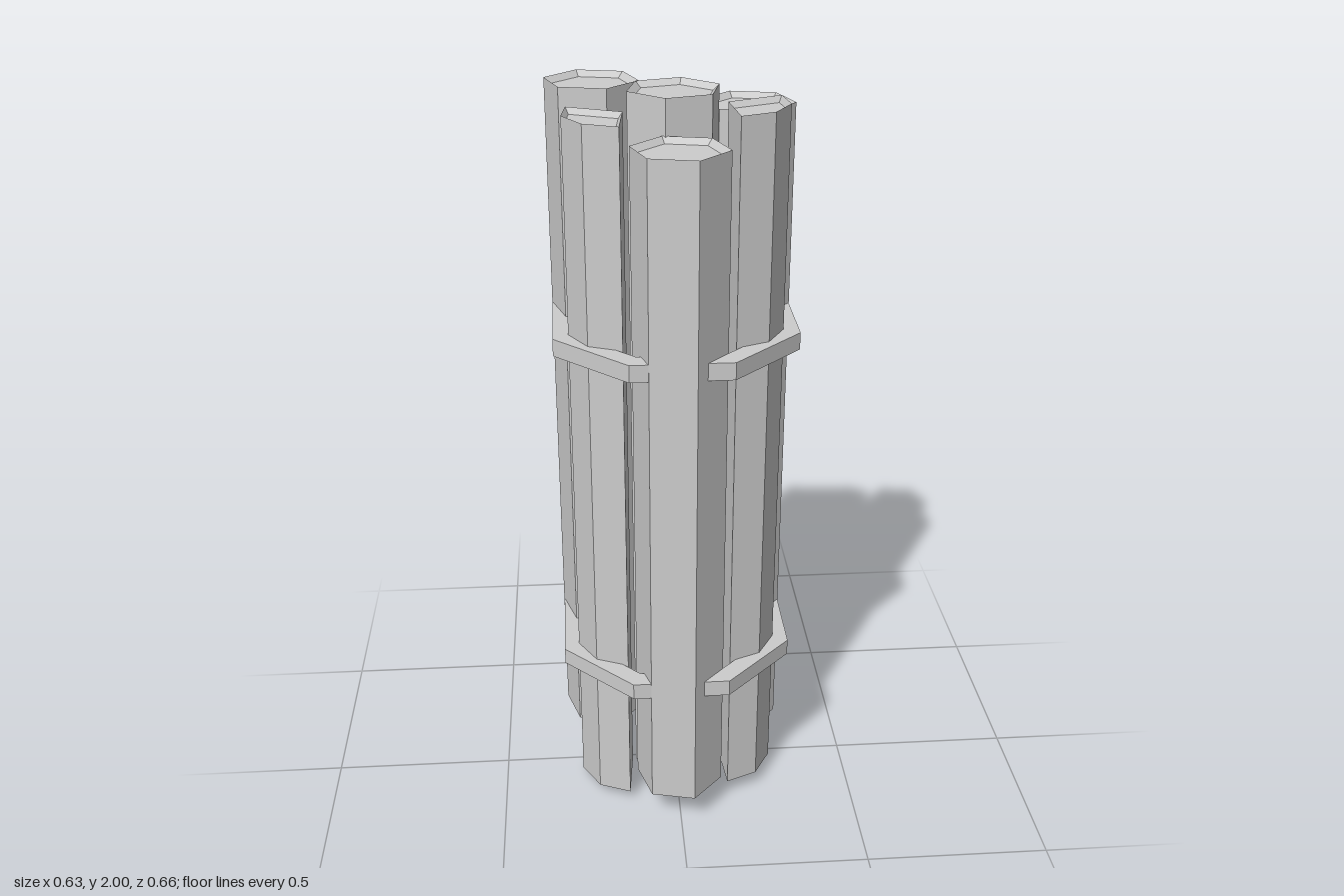
import * as THREE from 'three';

const TAU = Math.PI * 2;

// Regular polygon as [x, z] points
const ngon = (n, r, cx, cz, rot) => Array.from({ length: n }, (_, i) => {
  const a = rot + (i / n) * TAU;
  return [cx + r * Math.cos(a), cz + r * Math.sin(a)];
});

const centroid = (poly) => [0, 1].map((k) => poly.reduce((s, p) => s + p[k], 0) / poly.length);

const shrink = (poly, f) => {
  const c = centroid(poly);
  return poly.map((p) => p.map((v, k) => c[k] + (v - c[k]) * f));
};

// Flat-faced loft through rings of { poly, y }, optionally capped at both ends
function loft(rings, capped) {
  const pos = [];
  const n = rings[0].poly.length;
  const at = (r, i) => [r.poly[i % n][0], r.y, r.poly[i % n][1]];
  for (let k = 0; k + 1 < rings.length; k++) {
    const lo = rings[k], hi = rings[k + 1];
    for (let i = 0; i < n; i++) {
      pos.push(...at(lo, i), ...at(hi, i), ...at(hi, i + 1));
      pos.push(...at(lo, i), ...at(hi, i + 1), ...at(lo, i + 1));
    }
  }
  if (capped) {
    const lo = rings[0], hi = rings[rings.length - 1];
    const mid = (r) => { const c = centroid(r.poly); return [c[0], r.y, c[1]]; };
    for (let i = 0; i < n; i++) {
      pos.push(...mid(lo), ...at(lo, i), ...at(lo, i + 1));
      pos.push(...mid(hi), ...at(hi, i + 1), ...at(hi, i));
    }
  }
  const g = new THREE.BufferGeometry();
  g.setAttribute('position', new THREE.Float32BufferAttribute(pos, 3));
  g.computeVertexNormals();
  return g;
}

// Log with slightly hollowed ends
function logGeometry(poly, y0, y1) {
  const inner = shrink(poly, 0.86), dip = 0.015;
  return loft([
    { poly: inner, y: y0 + dip }, { poly, y: y0 },
    { poly, y: y1 }, { poly: inner, y: y1 - dip },
  ], true);
}

export function createModel() {
  const group = new THREE.Group();
  const grey = new THREE.MeshStandardMaterial({ color: 0xcccccc });
  grey.name = 'grey';
  const add = (name, geometry) => {
    const mesh = new THREE.Mesh(geometry, grey);
    mesh.name = name;
    group.add(mesh);
  };

  // Whole hexagonal logs: name, x, z, turn in degrees, bottom, top
  [
    ['centreLog', 0, -0.018, -17, 0, 2],
    ['frontLog', 0, 0.211, 13, 0.095, 1.91],
    ['backRightLog', -0.198, -0.132, 13, 0.115, 2],
    ['backLeftLog', 0.198, -0.132, 13, 0.07, 1.94],
  ].forEach(([name, x, z, deg, y0, y1]) =>
    add(name, logGeometry(ngon(6, 0.121, x, z, THREE.MathUtils.degToRad(deg)), y0, y1)));

  // Split logs, wedge-shaped, between the whole ones
  const side = [[0.264, -0.007], [0.275, 0.086], [0.227, 0.169], [0.141, 0.205], [0.127, 0.055]];
  const back = [[-0.123, -0.253], [-0.048, -0.308], [0.048, -0.308], [0.123, -0.253], [0, -0.164]];
  add('leftSplitLog', logGeometry(side, 0.05, 1.98));
  add('rightSplitLog', logGeometry(side.map(([x, z]) => [-x, z]).reverse(), 0.03, 1.96));
  add('backSplitLog', logGeometry(back, 0, 1.89));

  // Octagonal bands around the bundle
  const outer = ngon(8, 0.341, 0, -0.017, Math.PI / 8);
  const inner = ngon(8, 0.285, 0, -0.017, Math.PI / 8);
  [['lowerBand', 0.425], ['upperBand', 1.36]].forEach(([name, y]) => {
    const top = y + 0.046;
    add(name, loft([
      { poly: inner, y }, { poly: outer, y },
      { poly: outer, y: top }, { poly: inner, y: top }, { poly: inner, y },
    ], false));
  });

  return group;
}
